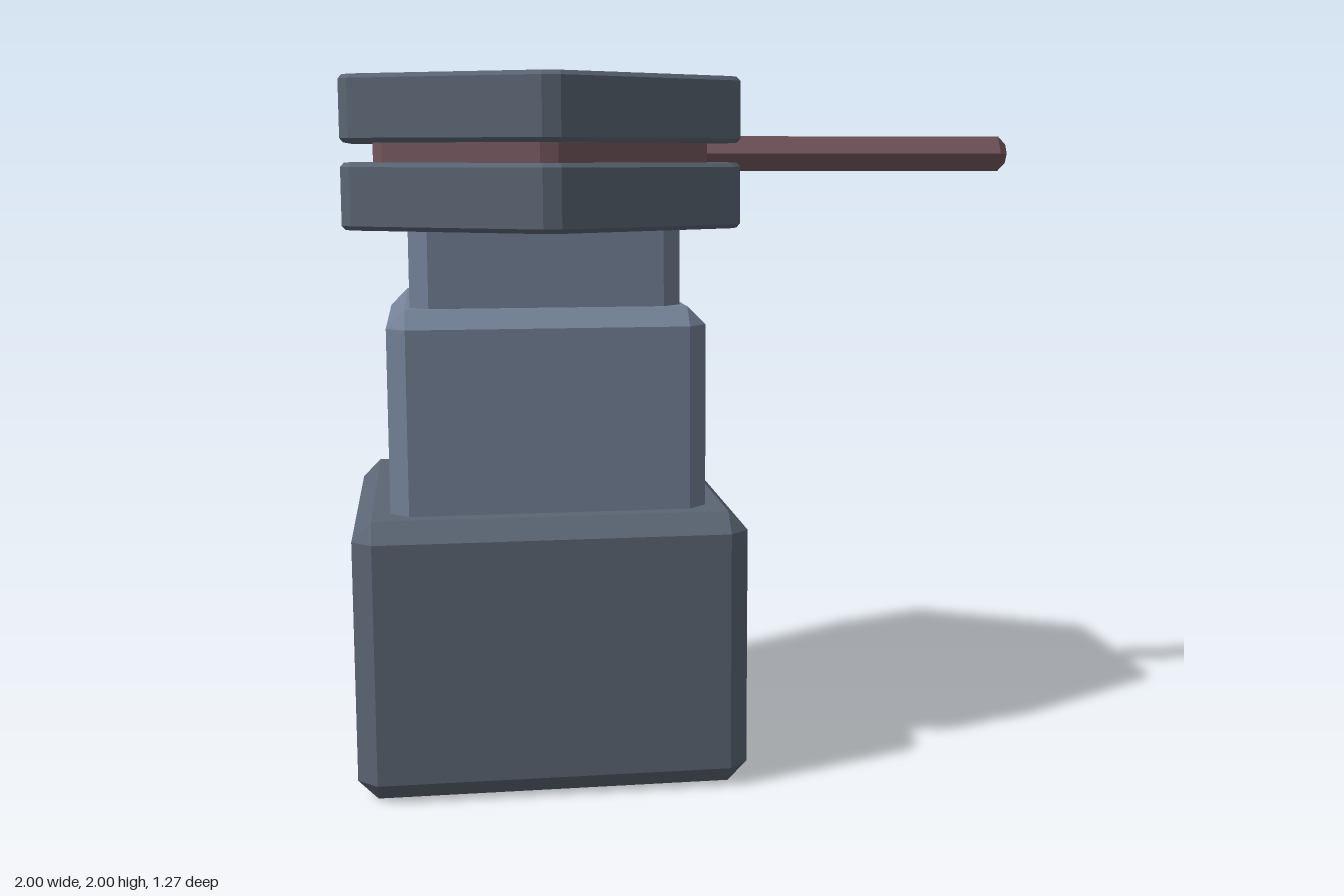
import * as THREE from 'three';
import { ConvexGeometry } from 'three/addons/geometries/ConvexGeometry.js';

const AXIS_X = -0.44; // vertical axis of the stacked body

const paint = (color) => new THREE.MeshStandardMaterial({ color, flatShading: true });

// Box with every edge chamfered by c
function chamferBox(w, y0, y1, d, c) {
  const half = [w / 2, (y1 - y0) / 2, d / 2];
  const points = [];
  for (const sx of [-1, 1]) for (const sy of [-1, 1]) for (const sz of [-1, 1]) {
    for (let axis = 0; axis < 3; axis++) {
      const [x, y, z] = half.map((h, i) => (i === axis ? h : h - c));
      points.push(new THREE.Vector3(sx * x, sy * y, sz * z));
    }
  }
  return new ConvexGeometry(points).translate(AXIS_X, (y0 + y1) / 2, 0);
}

// Hexagonal plate with points toward +z and -z, clipped corners and bevelled rims
function hexPlate(radius, y0, y1, clip, bevel) {
  const points = [];
  for (let i = 0; i < 6; i++) {
    const a = (i * Math.PI) / 3;
    for (const side of [-1, 1]) {
      const r = radius - clip / Math.sqrt(3);
      const x = Math.sin(a) * r + Math.cos(a) * clip * side;
      const z = Math.cos(a) * r - Math.sin(a) * clip * side;
      const k = 1 - bevel / radius;
      for (const y of [y0 + bevel, y1 - bevel]) points.push(new THREE.Vector3(x, y, z));
      for (const y of [y0, y1]) points.push(new THREE.Vector3(x * k, y, z * k));
    }
  }
  return new ConvexGeometry(points).translate(AXIS_X, 0, 0);
}

// Six-sided bar along x with bevelled ends
function hexBar(x0, x1, radius, bevel, y) {
  const profile = [
    [0, x0], [radius - bevel, x0], [radius, x0 + bevel],
    [radius, x1 - bevel], [radius - bevel, x1], [0, x1],
  ].map(([r, h]) => new THREE.Vector2(r, h));
  return new THREE.LatheGeometry(profile, 6).rotateZ(-Math.PI / 2).translate(0, y, 0);
}

export function createModel() {
  const model = new THREE.Group();
  const dark = paint(0x5b6573);
  const light = paint(0x738096);
  const brown = paint(0x73565c);

  const add = (name, geometry, material) => {
    const mesh = new THREE.Mesh(geometry, material);
    mesh.name = name;
    model.add(mesh);
  };

  // Stepped square body
  add('base', chamferBox(1.1, 0, 0.79, 1.1, 0.055), dark);
  add('middleBlock', chamferBox(0.89, 0.7, 1.36, 0.89, 0.052), light);
  add('neck', chamferBox(0.76, 1.2, 1.66, 0.76, 0.052), light);

  // Two hexagonal plates clamping a narrower ring
  add('lowerPlate', hexPlate(0.647, 1.575, 1.76, 0.025, 0.012), dark);
  add('ring', hexPlate(0.545, 1.735, 1.835, 0.025, 0.012), brown);
  add('upperPlate', hexPlate(0.647, 1.815, 2, 0.025, 0.012), dark);

  // Sideways lever
  add('lever', hexBar(AXIS_X, 1, 0.06, 0.028, 1.785), brown);

  return model;
}
